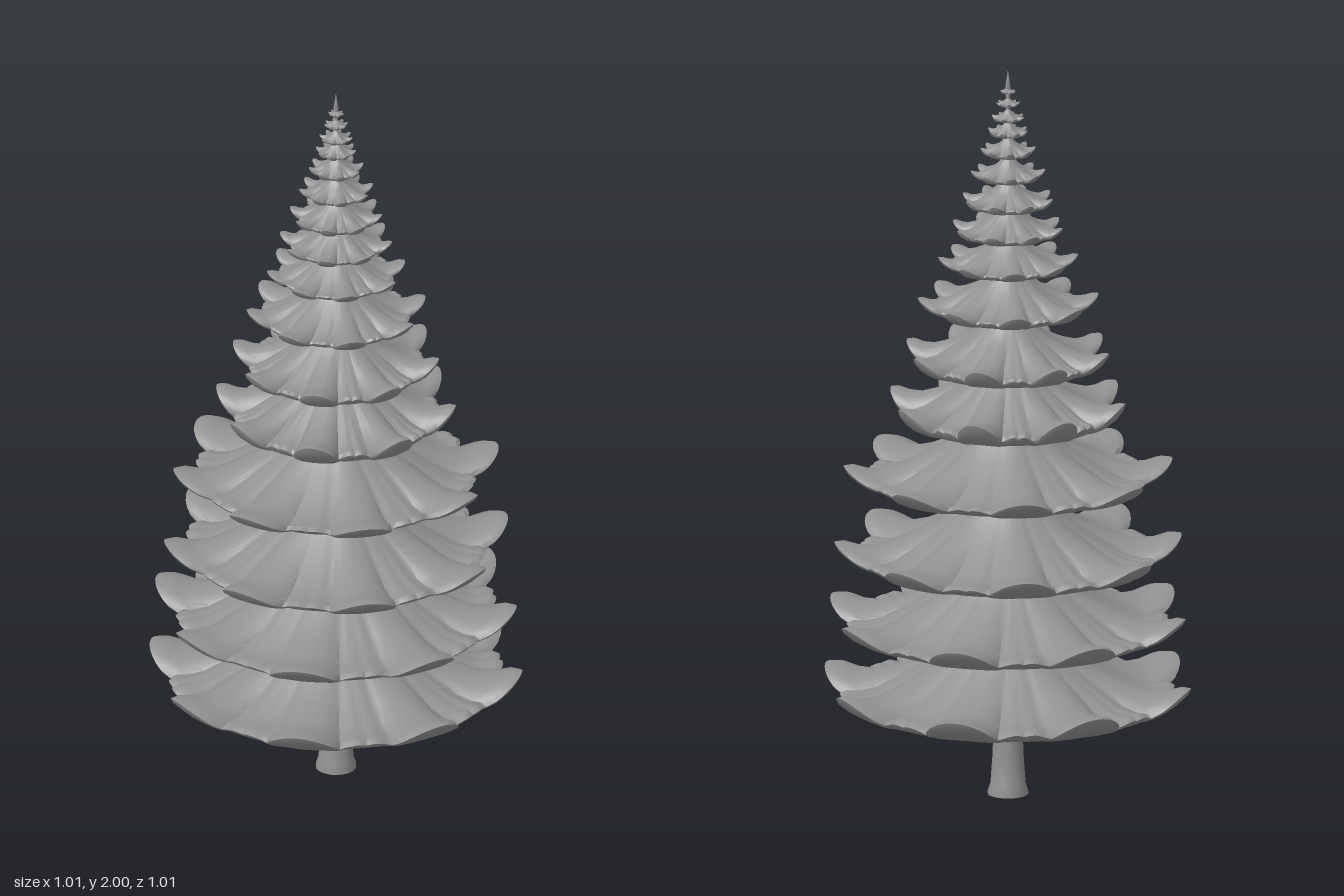
import * as THREE from 'three';
import { toCreasedNormals } from 'three/addons/utils/BufferGeometryUtils.js';

const SEG = 192;
const STEP = Math.PI / 4; // eight main boughs per tier
const MAIN = 0.235;       // half angle of a main bough
const MINOR = STEP / 2 - MAIN;

// tip radius, tip height, lowest height, turned by half a step
const TIERS = [
  [0.505, 0.325, 0.243, 0], [0.49, 0.515, 0.44, 0], [0.465, 0.705, 0.633, 1], [0.44, 0.915, 0.85, 1],
  [0.325, 1.1, 1.02, 0], [0.28, 1.235, 1.172, 0], [0.242, 1.375, 1.328, 1], [0.187, 1.485, 1.45, 1],
  [0.152, 1.572, 1.54, 0], [0.125, 1.65, 1.62, 0], [0.1, 1.722, 1.698, 1], [0.074, 1.785, 1.763, 1],
  [0.055, 1.835, 1.818, 0], [0.045, 1.872, 1.86, 0], [0.032, 1.91, 1.9, 1], [0.021, 1.942, 1.935, 0],
];

// upper profile: fraction of the rim radius, height above the tip as a fraction of the tip radius
const TOP = [[0.03, 0.49], [0.1, 0.42], [0.25, 0.23], [0.4, 0.11], [0.6, 0.02], [0.75, -0.025], [0.87, -0.02], [0.95, 0.005], [1, 0]];
// underside: fraction of the rim radius, share of the way from the rim down to the lip
const UNDER = [[0.985, 0.25], [0.93, 0.65], [0.86, 0.95]];

// rim outline and sag at one angle
function lobe(angle, depth) {
  const a = Math.abs(angle - STEP * Math.round(angle / STEP));
  if (a < MAIN) {
    const k = a / MAIN;
    return { rim: 1 - depth + depth * Math.pow(1 - k * k, 0.6), sag: 0.75 * k * k };
  }
  const k = Math.min(1, (STEP / 2 - a) / MINOR);
  const notch = 0.018 * Math.exp(-k * k * 25);
  return { rim: 1 - depth * 1.1 + depth * 0.4 * Math.sqrt(1 - k * k) - notch, sag: 0.5 + 0.25 * k * k + notch * 6 };
}

function tierGeometry([R, tipY, lowY, turned], depth) {
  const drop = tipY - lowY;
  const rows = TOP.length + UNDER.length + 2;
  const pos = [], index = [];
  for (let i = 0; i < SEG; i++) {
    const angle = (i / SEG) * Math.PI * 2;
    const { rim, sag } = lobe(angle - turned * STEP / 2, depth);
    const put = (t, y) => {
      const r = R * t * (1 + (rim - 1) * t * t);
      pos.push(r * Math.sin(angle), y, r * Math.cos(angle));
    };
    // arched boughs above
    for (const [t, h] of TOP) put(t, tipY + h * R - sag * drop * t ** 3);
    // thick lip below
    const rimY = tipY - sag * drop;
    const lipY = lowY + 0.15 * drop * (1 - sag);
    for (const [t, k] of UNDER) put(t, rimY + (lipY - rimY) * k);
    // hollow cone inside
    put(0.45, tipY + 0.04 * R - drop * 0.1);
    put(0.03, tipY + 0.4 * R);
  }
  for (let i = 0; i < SEG; i++) {
    const a = i * rows, b = ((i + 1) % SEG) * rows;
    for (let j = 0; j < rows - 1; j++) {
      index.push(a + j, a + j + 1, b + j, b + j, a + j + 1, b + j + 1);
    }
  }
  const geo = new THREE.BufferGeometry();
  geo.setAttribute('position', new THREE.Float32BufferAttribute(pos, 3));
  geo.setIndex(index);
  return toCreasedNormals(geo, 0.7);
}

export function createModel() {
  const group = new THREE.Group();
  group.name = 'firTree';
  const grey = new THREE.MeshStandardMaterial({ color: 0x919191 });
  grey.name = 'grey';
  const add = (geo, name) => {
    const mesh = new THREE.Mesh(geo, grey);
    mesh.name = name;
    group.add(mesh);
  };

  // flared trunk running up to the spire
  const trunk = [[0, 0], [0.054, 0], [0.054, 0.008], [0.047, 0.03], [0.042, 0.1], [0.038, 0.2], [0.036, 0.27],
    [0.027, 0.8], [0.017, 1.4], [0.008, 1.8], [0.005, 1.9], [0.007, 1.955], [0, 2]];
  add(toCreasedNormals(new THREE.LatheGeometry(trunk.map(([x, y]) => new THREE.Vector2(x, y)), 24), 0.7), 'trunk');

  // bough tiers, cut deeper towards the top
  TIERS.forEach((tier, n) => add(tierGeometry(tier, 0.15 + 0.014 * n), 'boughTier' + (n + 1)));
  return group;
}
